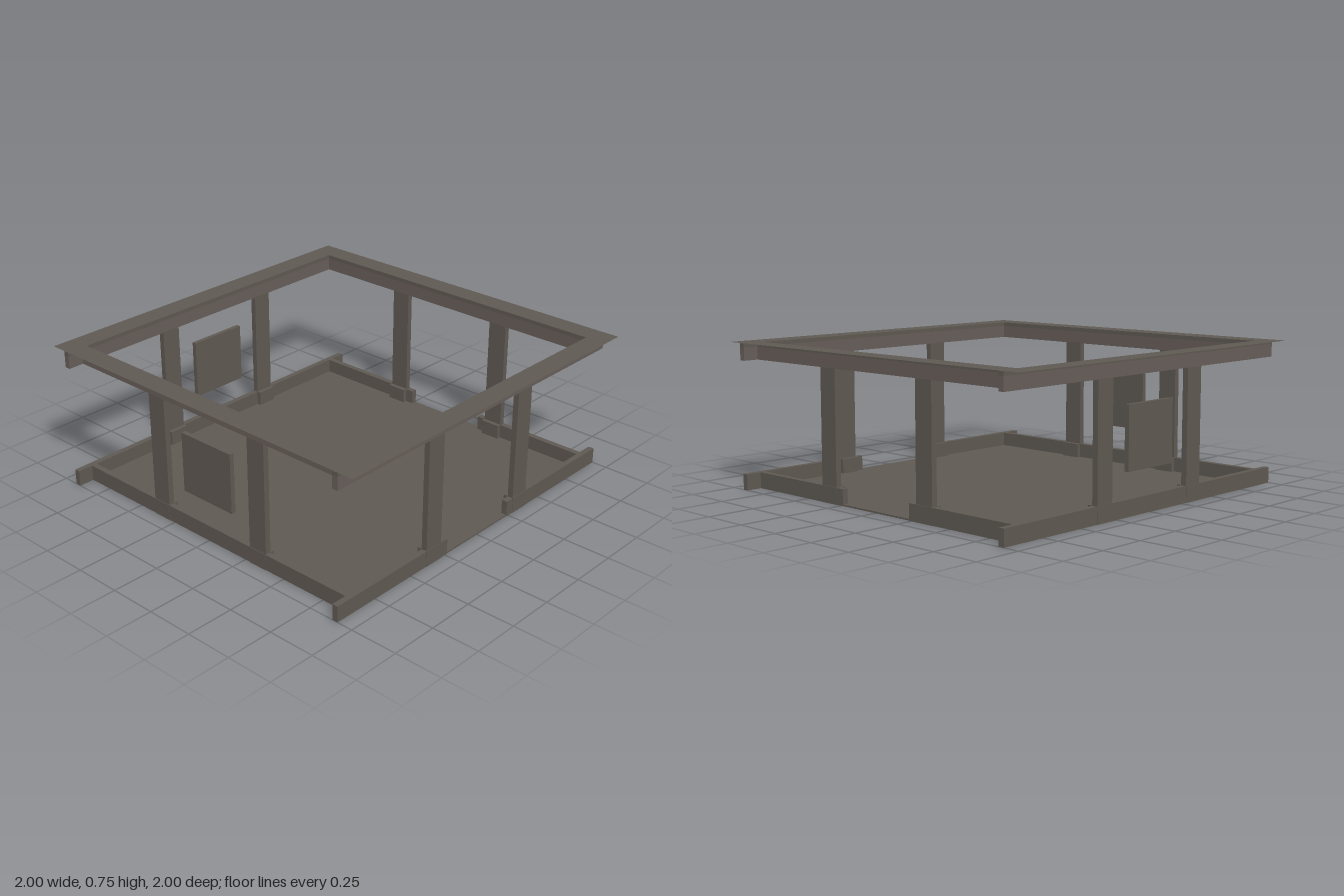
import * as THREE from 'three';

export function createModel() {
  const root = new THREE.Group();
  root.name = 'openFrameRoom';
  const stone = new THREE.MeshStandardMaterial({ color: 0x5f5952 });
  stone.name = 'grey brown';
  const warm = new THREE.MeshStandardMaterial({ color: 0x685e5a });
  warm.name = 'warm grey';
  const sheet = new THREE.MeshStandardMaterial({ color: 0x5f5952, side: THREE.DoubleSide });
  sheet.name = 'grey brown sheet';

  // box given by its low and high corners
  function box(parent, name, x0, x1, y0, y1, z0, z1, material = stone) {
    const mesh = new THREE.Mesh(new THREE.BoxGeometry(x1 - x0, y1 - y0, z1 - z0), material);
    mesh.position.set((x0 + x1) / 2, (y0 + y1) / 2, (z0 + z1) / 2);
    mesh.name = name;
    parent.add(mesh);
  }

  const inner = 0.885, outer = 0.916;

  // floor slab
  box(root, 'floor', -0.914, 0.914, 0, 0.008, -0.914, 0.914);

  // flat square rim on top, overhanging the beams
  const rim = new THREE.Shape();
  rim.moveTo(-1, -1).lineTo(1, -1).lineTo(1, 1).lineTo(-1, 1).closePath();
  const opening = new THREE.Path();
  opening.moveTo(-inner, -inner).lineTo(-inner, inner).lineTo(inner, inner).lineTo(inner, -inner).closePath();
  rim.holes.push(opening);
  const rimMesh = new THREE.Mesh(new THREE.ShapeGeometry(rim).rotateX(-Math.PI / 2), sheet);
  rimMesh.position.y = 0.75;
  rimMesh.name = 'topRim';
  root.add(rimMesh);

  // each side is built facing +z, then turned into place
  const sides = [
    { name: 'frontSide', turn: 0, half: 1, door: true },
    { name: 'leftSide', turn: Math.PI / 2, half: inner, door: true },
    { name: 'backSide', turn: Math.PI, half: 1, door: false },
    { name: 'rightSide', turn: -Math.PI / 2, half: inner, door: false },
  ];
  for (const { name, turn, half, door } of sides) {
    const side = new THREE.Group();
    side.name = name;
    side.rotation.y = turn;
    root.add(side);

    // top beam in two bands
    box(side, 'beamBand', -half, half, 0.662, 0.728, inner, outer, warm);
    box(side, 'beamTop', -half, half, 0.728, 0.749, inner, outer);

    // base rail, split where there is a doorway
    if (door) {
      box(side, 'baseRail', -half, -0.235, 0, 0.083, inner, outer);
      box(side, 'baseRail', 0.235, half, 0, 0.083, inner, outer);
    } else {
      box(side, 'baseRail', -half, half, 0, 0.083, inner, outer);
      box(side, 'wallPanel', -0.165, 0.165, 0.212, 0.527, 0.89, 0.914);
    }

    // posts with sleeves at the foot
    for (const x of [-0.335, 0.335]) {
      box(side, 'post', x - 0.053, x + 0.053, 0.08, 0.664, inner, outer - 0.001);
      box(side, 'postSleeve', x - 0.054, x + 0.054, 0, 0.085, 0.862, 0.918);
    }
  }
  return root;
}
